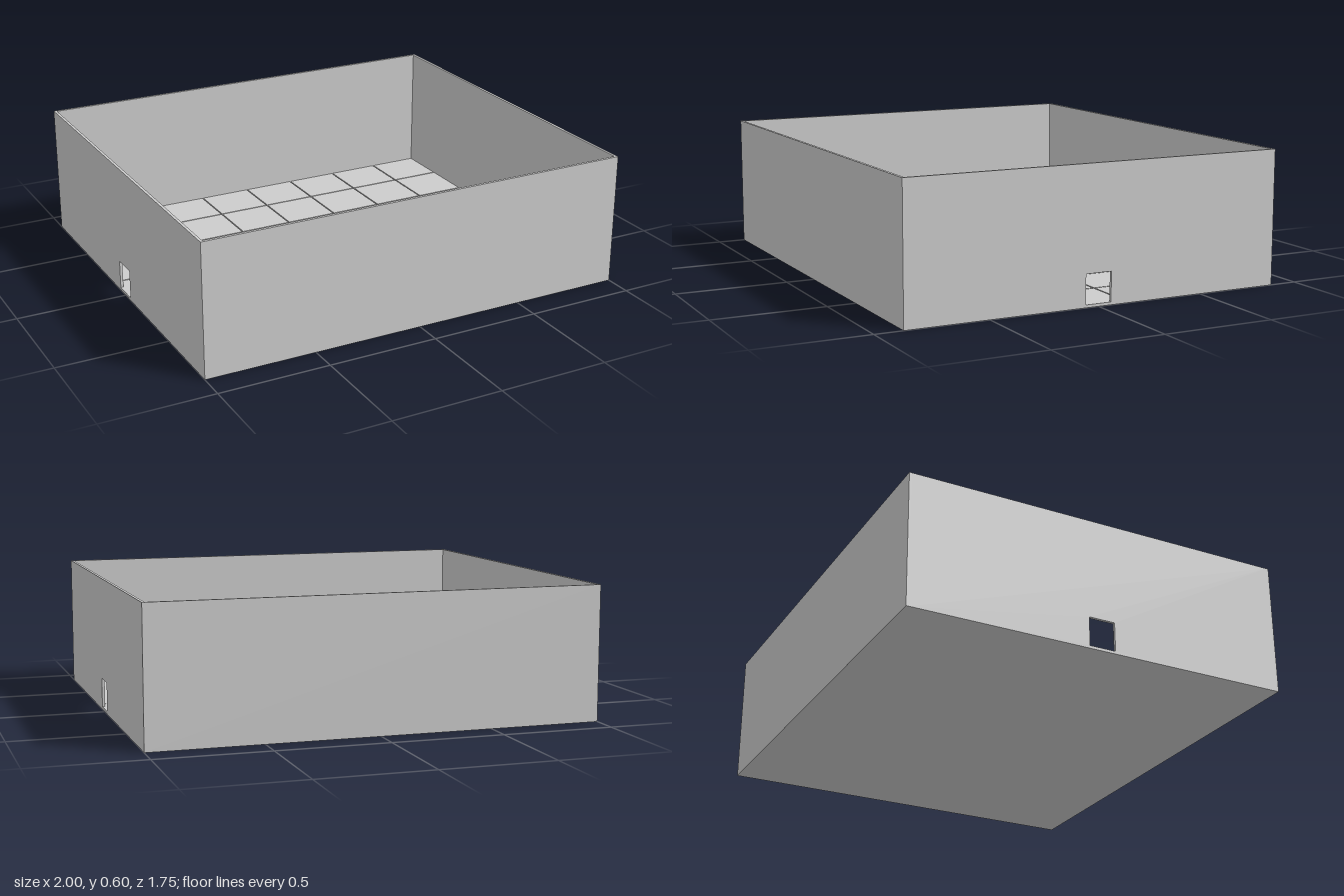
import * as THREE from 'three';

export function createModel() {
  const model = new THREE.Group();
  const grey = new THREE.MeshStandardMaterial({ color: 0xcccccc });
  grey.name = 'lightGrey';

  const W = 2, D = 1.75, H = 0.6, T = 0.0125; // outer size and wall thickness
  const pitch = 0.25, gap = 0.006, floorTop = 0.0125, grooveY = 0.0075;

  const box = (name, w, h, d, x, y, z, parent = model) => {
    const mesh = new THREE.Mesh(new THREE.BoxGeometry(w, h, d), grey);
    mesh.name = name;
    mesh.position.set(x, y, z);
    parent.add(mesh);
  };

  // Long front and back walls
  box('frontWall', W, H, T, 0, H / 2, (D - T) / 2);
  box('backWall', W, H, T, 0, H / 2, -(D - T) / 2);

  // End walls, each with a doorway above the floor
  const half = D / 2 - T;
  const profile = new THREE.Shape([
    new THREE.Vector2(-half, 0), new THREE.Vector2(half, 0),
    new THREE.Vector2(half, H), new THREE.Vector2(-half, H),
  ]);
  profile.holes.push(new THREE.Path([
    new THREE.Vector2(-0.06, floorTop), new THREE.Vector2(-0.06, 0.1425),
    new THREE.Vector2(0.06, 0.1425), new THREE.Vector2(0.06, floorTop),
  ]));
  const endGeometry = new THREE.ExtrudeGeometry(profile, { depth: T, bevelEnabled: false });
  endGeometry.translate(0, 0, -T / 2).rotateY(Math.PI / 2);
  for (const side of [-1, 1]) {
    const wall = new THREE.Mesh(endGeometry, grey);
    wall.name = side > 0 ? 'leftWall' : 'rightWall';
    wall.position.x = side * (W - T) / 2;
    model.add(wall);
  }

  // Floor slab under the tiles
  box('floorSlab', W - 2 * T, grooveY, D - 2 * T, 0, grooveY / 2, 0);

  // Square floor tiles with narrow grooves, trimmed at the walls
  const tiles = new THREE.Group();
  tiles.name = 'floorTiles';
  const span = (i, size) => {
    const limit = size / 2 - T;
    const a = Math.max(-size / 2 + i * pitch + gap / 2, -limit);
    const b = Math.min(-size / 2 + (i + 1) * pitch - gap / 2, limit);
    return [b - a, (a + b) / 2];
  };
  for (let i = 0; i < W / pitch; i++) {
    for (let j = 0; j < D / pitch; j++) {
      const [w, x] = span(i, W), [d, z] = span(j, D);
      box('floorTile', w, floorTop - grooveY, d, x, (floorTop + grooveY) / 2, z, tiles);
    }
  }
  model.add(tiles);
  return model;
}
